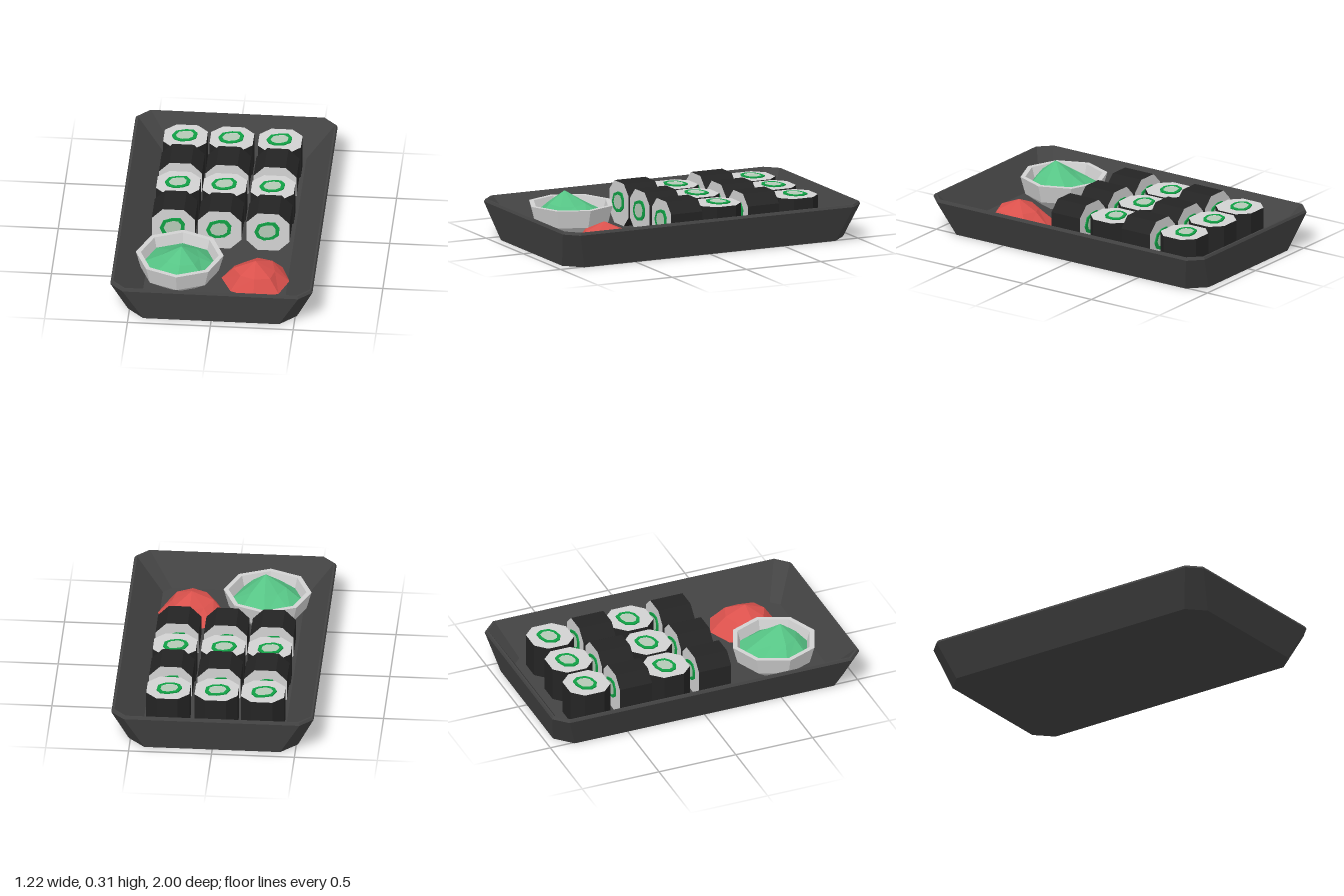
import * as THREE from 'three';

const mat = (name, color, side = THREE.FrontSide) => {
  const m = new THREE.MeshStandardMaterial({ color, flatShading: true, side });
  m.name = name;
  return m;
};

// Skin between equal-sized loops, closed by a point at each end
function loft(rings, start, end) {
  const pos = [];
  const n = rings[0].length;
  const tri = (a, b, c) => pos.push(...a, ...b, ...c);
  for (let i = 0; i < n; i++) {
    const j = (i + 1) % n;
    tri(start, rings[0][j], rings[0][i]);
    for (let k = 0; k < rings.length - 1; k++) {
      const a = rings[k], b = rings[k + 1];
      tri(a[i], a[j], b[j]);
      tri(a[i], b[j], b[i]);
    }
    const last = rings[rings.length - 1];
    tri(last[i], last[j], end);
  }
  const g = new THREE.BufferGeometry();
  g.setAttribute('position', new THREE.Float32BufferAttribute(pos, 3));
  g.computeVertexNormals();
  return g;
}

// Rectangle loop with cut corners
function cutRect(x, z, cut, y) {
  const a = x - cut, b = z - cut;
  return [[a, z], [x, b], [x, -b], [a, -z], [-a, -z], [-x, -b], [-x, b], [-a, z]]
    .map(([px, pz]) => [px, y, pz]);
}

// Eight-sided loop, slightly uneven by a fixed rule
function ring(cx, cz, r, y, wobble = 0) {
  return Array.from({ length: 8 }, (_, i) => {
    const t = i * Math.PI / 4;
    const k = r * (1 + wobble * Math.sin(i * 2.3));
    return [cx + k * Math.sin(t), y + wobble * 0.1 * Math.cos(i * 1.9), cz + k * Math.cos(t)];
  });
}

const shapeOf = (pts, s = 1) =>
  new THREE.Shape(pts.map(([x, y]) => new THREE.Vector2(x * s, y * s)));

export function createModel() {
  const model = new THREE.Group();
  model.name = 'sushiTray';

  const trayMat = mat('trayCharcoal', 0x434343);
  const noriMat = mat('noriBlack', 0x242424);
  const riceMat = mat('riceWhite', 0xd2d2d2);
  const bowlMat = mat('bowlWhite', 0xd2d2d2, THREE.DoubleSide);
  const skinMat = mat('cucumberGreen', 0x10a044);
  const coreMat = mat('cucumberPale', 0xb4c9b6);
  const pasteMat = mat('pasteGreen', 0x56c485);
  const gingerMat = mat('gingerRed', 0xda514c);

  const add = (parent, name, geometry, material) => {
    const mesh = new THREE.Mesh(geometry, material);
    mesh.name = name;
    parent.add(mesh);
    return mesh;
  };

  // Tray: outer wall, narrow rim, sloping inner wall, floor
  add(model, 'tray', loft([
    cutRect(0.51, 0.945, 0.1, 0),
    cutRect(0.61, 1.0, 0.08, 0.22),
    cutRect(0.603, 0.993, 0.078, 0.235),
    cutRect(0.592, 0.982, 0.074, 0.235),
    cutRect(0.43, 0.865, 0.05, 0.05),
  ], [0, 0, 0], [0, 0.05, 0]), trayMat);

  // Roll: rice ends, seaweed wrap
  const R = 0.13, F = 0.064, L = 0.21;
  const octagon = [[F, R], [-F, R], [-R, F], [-R, -F], [-F, -R], [F, -R], [R, -F], [R, F]];
  const rollGeo = new THREE.ExtrudeGeometry(shapeOf(octagon), { depth: L, bevelEnabled: false });
  rollGeo.translate(0, 0, -L / 2);

  // Filling: uneven green skin around a pale core
  const outline = [[-0.077, -0.01], [-0.055, 0.042], [0, 0.062], [0.048, 0.062], [0.075, 0.025],
    [0.07, -0.028], [0.035, -0.056], [-0.02, -0.066], [-0.06, -0.048]];
  const skinShape = shapeOf(outline);
  skinShape.holes.push(shapeOf(outline, 0.7));
  const skinGeo = new THREE.ExtrudeGeometry(skinShape, { depth: 0.007, bevelEnabled: false });
  const coreGeo = new THREE.ExtrudeGeometry(shapeOf(outline, 0.7), { depth: 0.005, bevelEnabled: false });

  function makeRoll(name) {
    const roll = new THREE.Group();
    roll.name = name;
    add(roll, 'riceAndWrap', rollGeo, [riceMat, noriMat]);
    for (const turn of [0, Math.PI]) {
      const filling = new THREE.Group();
      filling.name = 'filling';
      add(filling, 'fillingSkin', skinGeo, skinMat).position.set(-0.005, 0.009, L / 2);
      add(filling, 'fillingCore', coreGeo, coreMat).position.set(-0.005, 0.009, L / 2);
      filling.rotation.y = turn;
      roll.add(filling);
    }
    return roll;
  }

  // Rows alternate between upright and lying rolls
  const rows = [[-0.677, true], [-0.408, false], [-0.16, true], [0.107, false]];
  for (const [z, upright] of rows) {
    for (const x of [-0.288, -0.008, 0.283]) {
      const roll = makeRoll(upright ? 'uprightRoll' : 'lyingRoll');
      roll.position.set(x, 0.05 + (upright ? L / 2 : R), z);
      if (upright) roll.rotation.x = -Math.PI / 2;
      model.add(roll);
    }
  }

  // Bowl: eight-sided, with a thick rim
  const profile = [[0, 0.051], [0.14, 0.051], [0.235, 0.12], [0.265, 0.23], [0.235, 0.23],
    [0.21, 0.14], [0.13, 0.08], [0, 0.08]].map(([r, y]) => new THREE.Vector2(r, y));
  add(model, 'bowl', new THREE.LatheGeometry(profile, 8), bowlMat).position.set(-0.22, 0, 0.57);

  // Green paste mound inside the bowl
  add(model, 'greenPaste', loft([
    ring(-0.22, 0.57, 0.217, 0.165),
    ring(-0.208, 0.605, 0.115, 0.235, 0.06),
  ], [-0.22, 0.12, 0.57], [-0.205, 0.315, 0.62]), pasteMat);

  // Red ginger mound on the tray floor
  add(model, 'ginger', loft([
    ring(0.24, 0.555, 0.205, 0.06, 0.02),
    ring(0.24, 0.575, 0.125, 0.145, 0.08),
  ], [0.24, 0.05, 0.555], [0.238, 0.205, 0.575]), gingerMat);

  return model;
}
